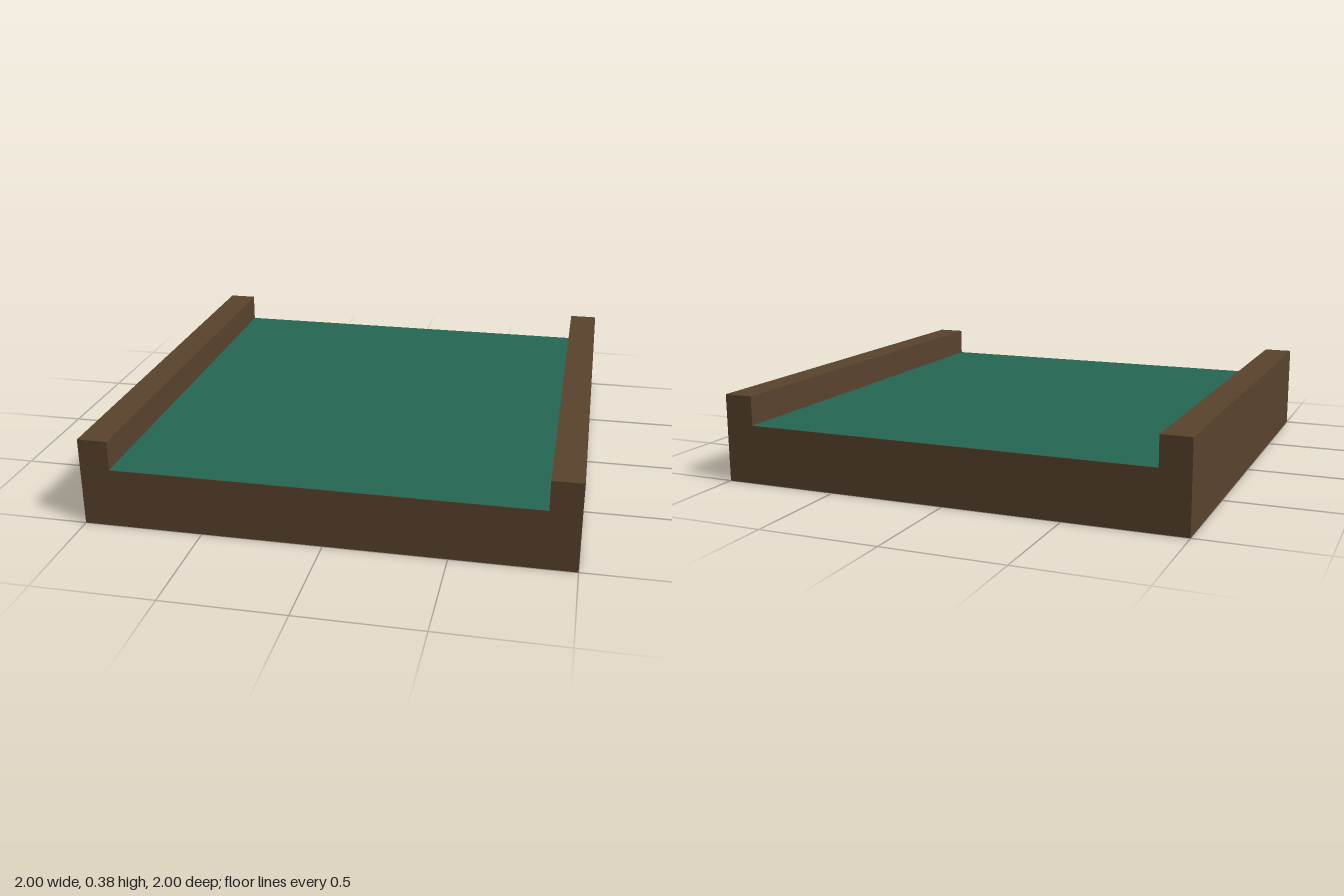
import * as THREE from 'three';

export function createModel() {
  const wood = new THREE.MeshStandardMaterial({ color: 0x5a432d });
  wood.name = 'dark wood';
  const felt = new THREE.MeshStandardMaterial({ color: 0x256753 });
  felt.name = 'green felt';

  const half = 1, inner = 0.875, bedTop = 0.25, railTop = 0.375;
  const model = new THREE.Group();
  model.name = 'tableSection';

  // Wooden body: U-shaped section with a raised rail along each side
  const section = new THREE.Shape([
    [-half, 0], [half, 0], [half, railTop], [inner, railTop],
    [inner, bedTop], [-inner, bedTop], [-inner, railTop], [-half, railTop],
  ].map(([x, y]) => new THREE.Vector2(x, y)));
  const bodyGeometry = new THREE.ExtrudeGeometry(section, { depth: 2 * half, bevelEnabled: false });
  bodyGeometry.translate(0, 0, -half);
  const body = new THREE.Mesh(bodyGeometry, wood);
  body.name = 'bedAndRails';
  model.add(body);

  // Felt surface lying on the bed between the rails
  const surfaceGeometry = new THREE.PlaneGeometry(2 * inner, 2 * half);
  surfaceGeometry.rotateX(-Math.PI / 2);
  const surface = new THREE.Mesh(surfaceGeometry, felt);
  surface.name = 'feltSurface';
  surface.position.y = bedTop + 0.001;
  model.add(surface);

  return model;
}
